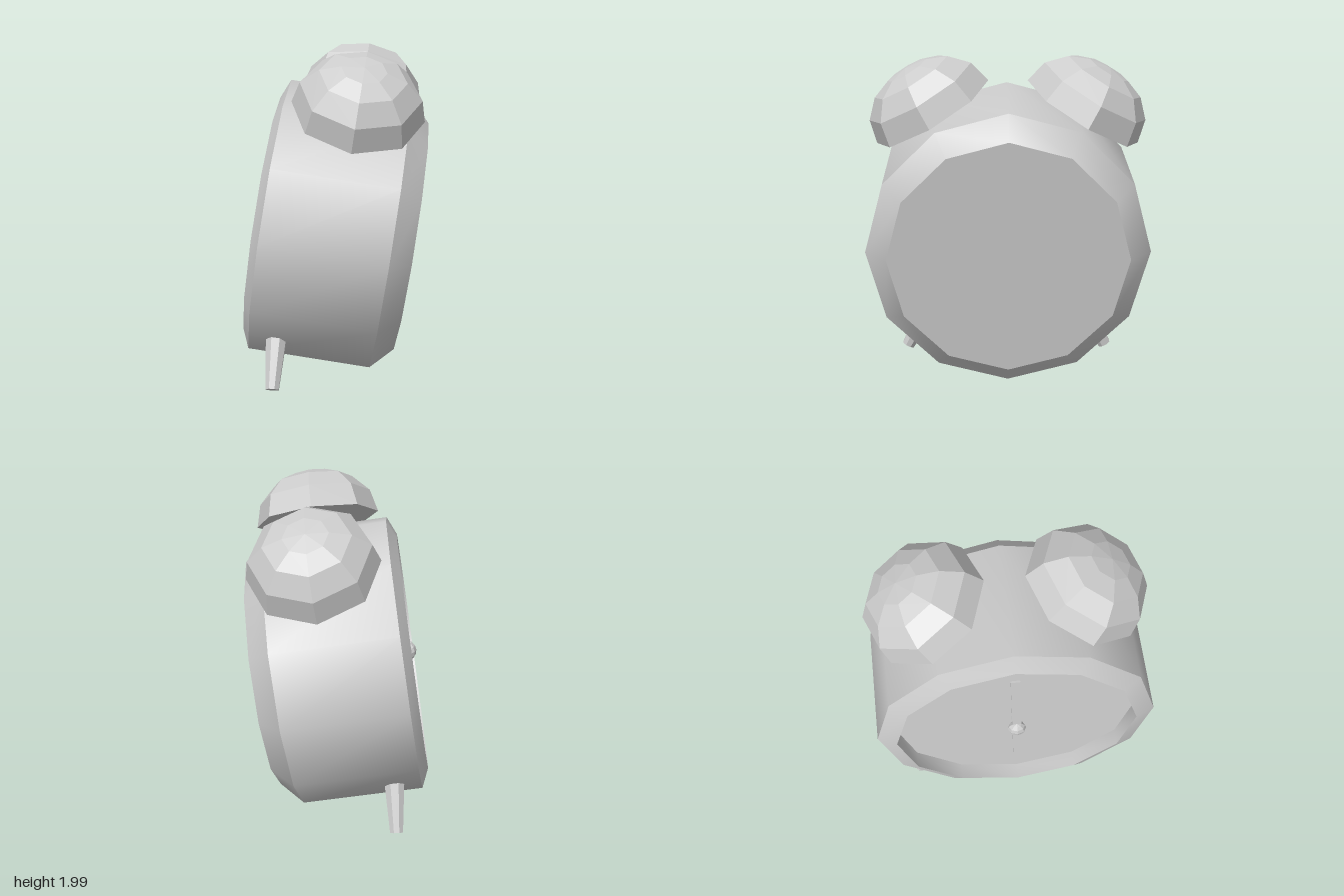
import * as THREE from 'three';
import { toCreasedNormals } from 'three/addons/utils/BufferGeometryUtils.js';

const smooth = new THREE.MeshStandardMaterial({ color: 0xcccccc });
const faceted = new THREE.MeshStandardMaterial({ color: 0xcccccc, flatShading: true });

function addMesh(parent, name, geometry, material = faceted) {
  const mesh = new THREE.Mesh(geometry, material);
  mesh.name = name;
  parent.add(mesh);
  return mesh;
}

function lathe(points, sides) {
  return new THREE.LatheGeometry(points.map(([r, h]) => new THREE.Vector2(r, h)), sides);
}

// Tapered rod between two points
function rod(parent, name, from, to, rFrom, rTo, sides) {
  const a = new THREE.Vector3(...from), b = new THREE.Vector3(...to);
  const dir = b.clone().sub(a);
  const mesh = addMesh(parent, name, new THREE.CylinderGeometry(rTo, rFrom, dir.length(), sides));
  mesh.position.copy(a).add(b).multiplyScalar(0.5);
  mesh.quaternion.setFromUnitVectors(new THREE.Vector3(0, 1, 0), dir.normalize());
  return mesh;
}

export function createModel() {
  const model = new THREE.Group();
  model.name = 'alarmClock';

  // The clock is built facing +z, then turned sideways and leaned back
  const clock = new THREE.Group();
  clock.name = 'clock';
  clock.rotation.set(-0.15, -1.249, 0, 'YXZ');
  clock.position.set(-0.035, 0.905, 0.005);
  model.add(clock);

  // Twelve-sided case: bevelled back, drum, raised rim and sunken dial
  const caseProfile = [
    [0, -0.4975], [0.717, -0.4975], [0.85, -0.3675], [0.85, 0.3675],
    [0.735, 0.4175], [0.735, 0.32], [0, 0.32],
  ];
  const caseGeometry = lathe(caseProfile, 12).rotateX(Math.PI / 2);
  addMesh(clock, 'case', toCreasedNormals(caseGeometry, 0.6), smooth);

  // Hands and their pivot
  addMesh(clock, 'minuteHand', new THREE.BoxGeometry(0.055, 0.6, 0.012)).position.set(0, 0.3, 0.395);
  addMesh(clock, 'hourHand', new THREE.BoxGeometry(0.055, 0.4, 0.012)).position.set(0, -0.2, 0.395);
  rod(clock, 'handAxle', [0, 0, 0.31], [0, 0, 0.4], 0.025, 0.025, 8);
  const knob = addMesh(clock, 'handKnob', new THREE.SphereGeometry(0.057, 8, 6));
  knob.position.z = 0.4;
  knob.scale.z = 0.75;

  const bellProfile = [[0, 0], [0.385, 0], [0.35, 0.142], [0.25, 0.245], [0.13, 0.292], [0, 0.307]];
  for (const side of [-1, 1]) {
    const label = side > 0 ? 'left' : 'right';

    // Bell on a short stem, leaning 30 degrees outwards
    const bell = new THREE.Group();
    bell.name = label + 'BellAssembly';
    bell.rotation.z = -side * Math.PI / 6;
    bell.position.z = -0.065;
    clock.add(bell);
    addMesh(bell, label + 'Bell', lathe(bellProfile, 8)).position.y = 0.898;
    rod(bell, label + 'BellStem', [0, 0.78, 0], [0, 0.92, 0], 0.037, 0.037, 6);

    // Splayed front foot
    rod(clock, label + 'Foot', [side * 0.49, -0.58, 0.21], [side * 0.65, -0.885, 0.18], 0.068, 0.042, 8);
  }
  return model;
}
